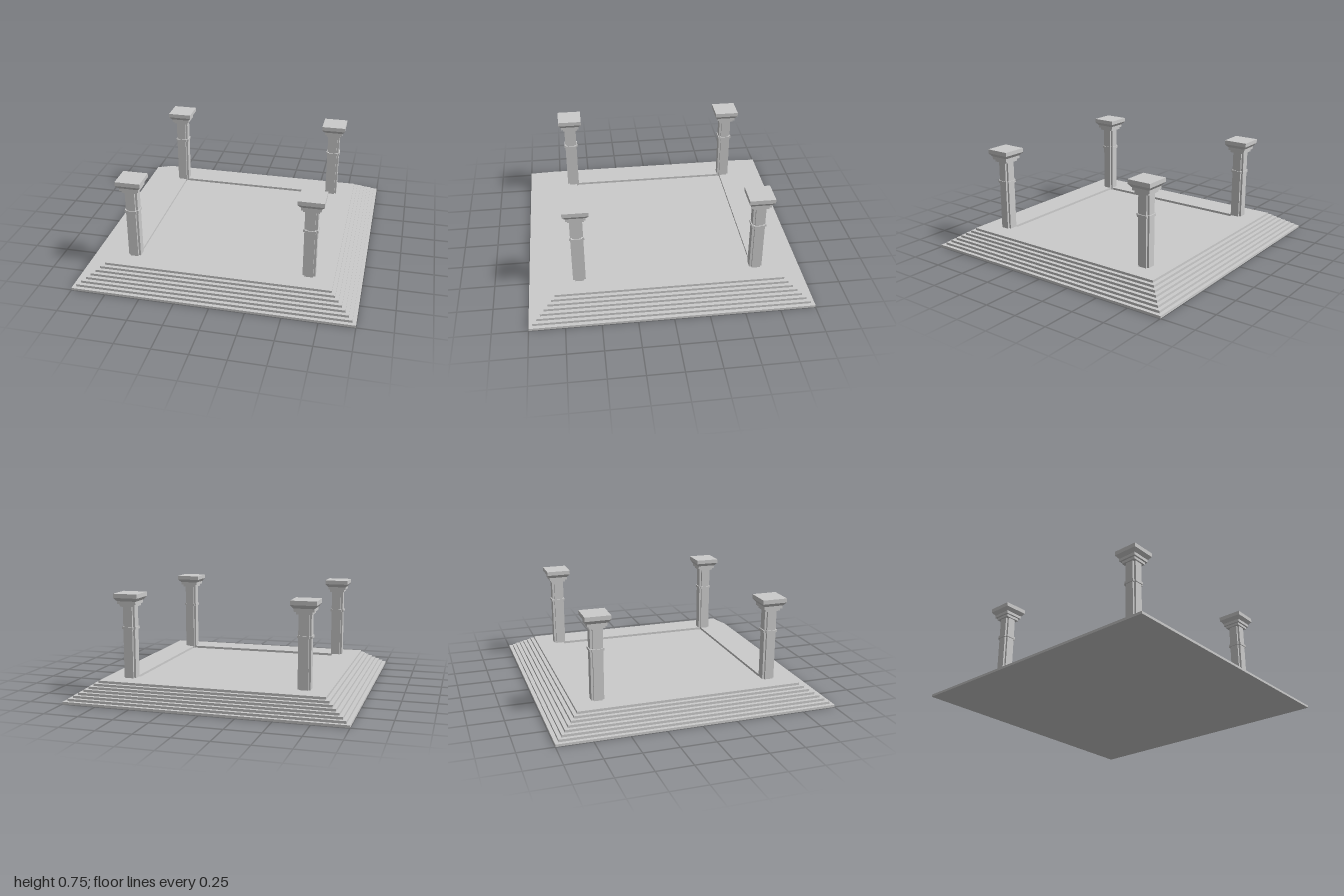
import * as THREE from 'three';

const material = new THREE.MeshStandardMaterial({ color: 0xcccccc, flatShading: true });
const STEPS = 8, STEP_H = 0.0172, TOP = STEPS * STEP_H;

function add(parent, name, geometry, y = 0) {
  const mesh = new THREE.Mesh(geometry, material);
  mesh.name = name;
  mesh.position.y = y;
  parent.add(mesh);
  return mesh;
}

// Square outline of half-width h, with optional square notches n in its corners
function outline(h, n = 0) {
  const points = [];
  for (let i = 0; i < 4; i++) {
    const corner = n ? [[h, -h + n], [h, h - n], [h - n, h - n]] : [[h, h]];
    for (const [x, y] of corner) {
      points.push(new THREE.Vector2(x, y).rotateAround(new THREE.Vector2(), i * Math.PI / 2));
    }
  }
  return points;
}

// Upright prism of a shape, its bottom on y = 0
function prism(shape, height) {
  return new THREE.ExtrudeGeometry(shape, { depth: height, bevelEnabled: false }).rotateX(-Math.PI / 2);
}

// Square block of half-widths bottom and top
function block(bottom, top, height) {
  return new THREE.CylinderGeometry(top * Math.SQRT2, bottom * Math.SQRT2, height, 4)
    .rotateY(Math.PI / 4).translate(0, height / 2, 0);
}

function createColumn() {
  const column = new THREE.Group();
  column.name = 'column';
  const base = TOP - STEP_H;
  add(column, 'shaft', prism(new THREE.Shape(outline(0.045, 0.015)), 0.655 - base), base);
  add(column, 'shaftRing', prism(new THREE.Shape(outline(0.052, 0.015)), 0.018), 0.49);
  // Capital widening upwards
  add(column, 'capitalLowerStep', block(0.056, 0.056, 0.019), 0.653);
  add(column, 'capitalUpperStep', block(0.069, 0.069, 0.022), 0.672);
  add(column, 'capitalFlare', block(0.071, 0.09, 0.024), 0.694);
  add(column, 'capitalSlab', block(0.09, 0.09, 0.03), 0.718);
  return column;
}

export function createModel() {
  const model = new THREE.Group();
  model.name = 'steppedPlatform';

  // Steps narrowing upwards; the top one frames a sunken floor
  const steps = new THREE.Group();
  steps.name = 'steps';
  model.add(steps);
  for (let i = 0; i < STEPS; i++) {
    const half = 1 - i * 0.0268;
    const shape = new THREE.Shape(outline(half));
    if (i === STEPS - 1) shape.holes.push(new THREE.Path(outline(0.607)));
    add(steps, i === STEPS - 1 ? 'topFrame' : 'step', prism(shape, STEP_H), i * STEP_H);
  }

  // Four corner columns
  for (const x of [-0.635, 0.635]) {
    for (const z of [-0.635, 0.635]) {
      const column = createColumn();
      column.position.set(x, 0, z);
      model.add(column);
    }
  }
  return model;
}
